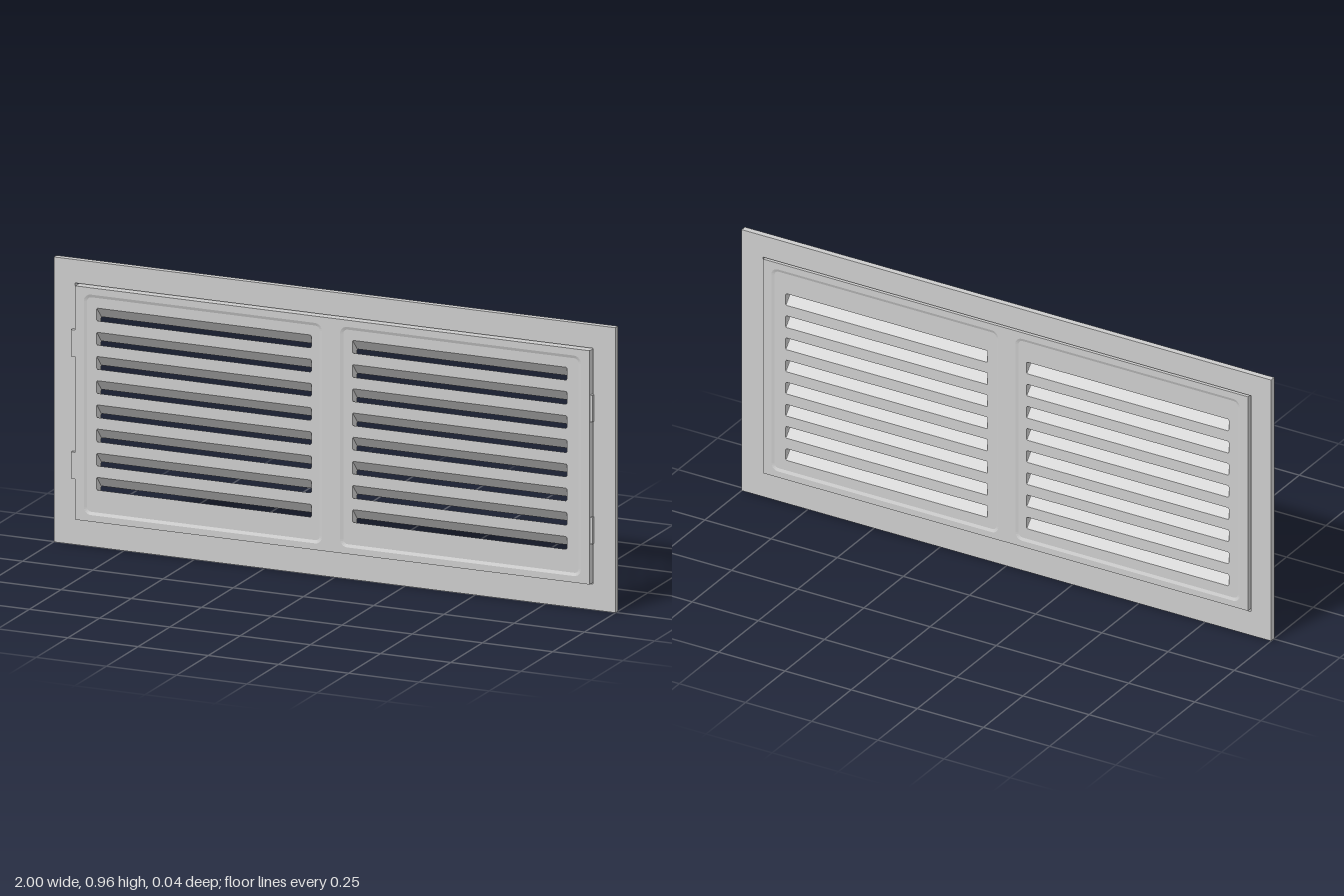
import * as THREE from 'three';

const grey = new THREE.MeshStandardMaterial({ color: 0xcccccc });
const sheet = new THREE.MeshStandardMaterial({ color: 0xcccccc, side: THREE.DoubleSide });

// Panel and frame sizes
const PANEL = { x0: -0.916, x1: 0.916, y0: 0.09, y1: 0.88 };
const HALF = 0.022;      // half the panel thickness
const DEPTH = 0.004;     // depth of the pressed fields
const SLOPE = 1.08;      // drop of the louvres from front to back
const SLOT_H = 0.043;
const SLOT_PITCH = 0.0817;
const FIELDS = [
  { x0: -0.885, x1: -0.037, s0: -0.841, s1: -0.077 },
  { x0: 0.027, x1: 0.885, s0: 0.07, s1: 0.833 },
];

// Counter-clockwise rectangle outline with rounded corners
function outline(x0, x1, y0, y1, r = 0, steps = 5) {
  if (r === 0) return [[x0, y0], [x1, y0], [x1, y1], [x0, y1]].map(p => new THREE.Vector2(...p));
  const points = [];
  const corners = [[x1 - r, y0 + r, -0.5], [x1 - r, y1 - r, 0], [x0 + r, y1 - r, 0.5], [x0 + r, y0 + r, 1]];
  for (const [cx, cy, start] of corners) {
    for (let i = 0; i <= steps; i++) {
      const a = Math.PI * (start + 0.5 * i / steps);
      points.push(new THREE.Vector2(cx + r * Math.cos(a), cy + r * Math.sin(a)));
    }
  }
  return points;
}

// Flat sheet with holes at depth z
function face(outer, holes, z) {
  const shape = new THREE.Shape(outer);
  shape.holes = holes.map(h => new THREE.Path(h));
  return new THREE.ShapeGeometry(shape).translate(0, 0, z);
}

// Band of quads joining two outlines at different depths
function band(a, za, b, zb) {
  const pos = [];
  for (let i = 0; i < a.length; i++) {
    const j = (i + 1) % a.length;
    const A = [a[i].x, a[i].y, za], B = [a[j].x, a[j].y, za];
    const C = [b[j].x, b[j].y, zb], D = [b[i].x, b[i].y, zb];
    pos.push(...A, ...B, ...C, ...A, ...C, ...D);
  }
  const g = new THREE.BufferGeometry();
  g.setAttribute('position', new THREE.Float32BufferAttribute(pos, 3));
  g.computeVertexNormals();
  return g;
}

function add(group, name, geometry, material = grey) {
  const mesh = new THREE.Mesh(geometry, material);
  mesh.name = name;
  group.add(mesh);
}

// Slot outlines of one field, sinking toward the back
function slots(field, z) {
  const list = [];
  for (let i = 0; i < 8; i++) {
    const y = 0.198 + i * SLOT_PITCH - (HALF - DEPTH - z) * SLOPE;
    list.push(outline(field.s0, field.s1, y, y + SLOT_H, 0.004, 2));
  }
  return list;
}

function buildPanel() {
  const panel = new THREE.Group();
  panel.name = 'louvrePanel';
  const rim = outline(PANEL.x0, PANEL.x1, PANEL.y0, PANEL.y1);
  add(panel, 'panelEdge', band(rim, -HALF, rim, HALF), sheet);

  for (const [side, s] of [['front', 1], ['back', -1]]) {
    const zOut = s * HALF, zIn = s * (HALF - DEPTH);
    const rims = FIELDS.map(f => outline(f.x0, f.x1, 0.112, 0.857, 0.025));
    add(panel, side + 'Border', face(rim, rims, zOut), sheet);
    FIELDS.forEach((f, i) => {
      const inner = outline(f.x0 + 0.01, f.x1 - 0.01, 0.122, 0.847, 0.015);
      add(panel, side + 'FieldBevel', band(rims[i], zOut, inner, zIn), sheet);
      add(panel, side + 'Field', face(inner, slots(f, zIn), zIn), sheet);
    });
  }

  // Sloping walls of every slot
  const zf = HALF - DEPTH;
  for (const f of FIELDS) {
    const back = slots(f, -zf);
    slots(f, zf).forEach((front, i) => add(panel, 'louvreSlot', band(front, zf, back[i], -zf), sheet));
  }
  return panel;
}

export function createModel() {
  const model = new THREE.Group();
  model.name = 'ventGrille';

  // Outer frame
  const shape = new THREE.Shape(outline(-1, 1, 0, 0.963));
  shape.holes.push(new THREE.Path(outline(-0.925, 0.92, 0.087, 0.884)));
  const frame = new THREE.ExtrudeGeometry(shape, { depth: 0.021, bevelEnabled: false });
  add(model, 'frame', frame.translate(0, 0, -0.017));

  model.add(buildPanel());

  // Hinge and catch tabs on both sides of the panel
  for (const y of [0.271, 0.684]) {
    for (const [x, w] of [[-0.921, 0.022], [0.915, 0.018]]) {
      add(model, 'hingeTab', new THREE.BoxGeometry(w, 0.09, 0.014).translate(x, y, 0.011));
    }
  }
  return model;
}
